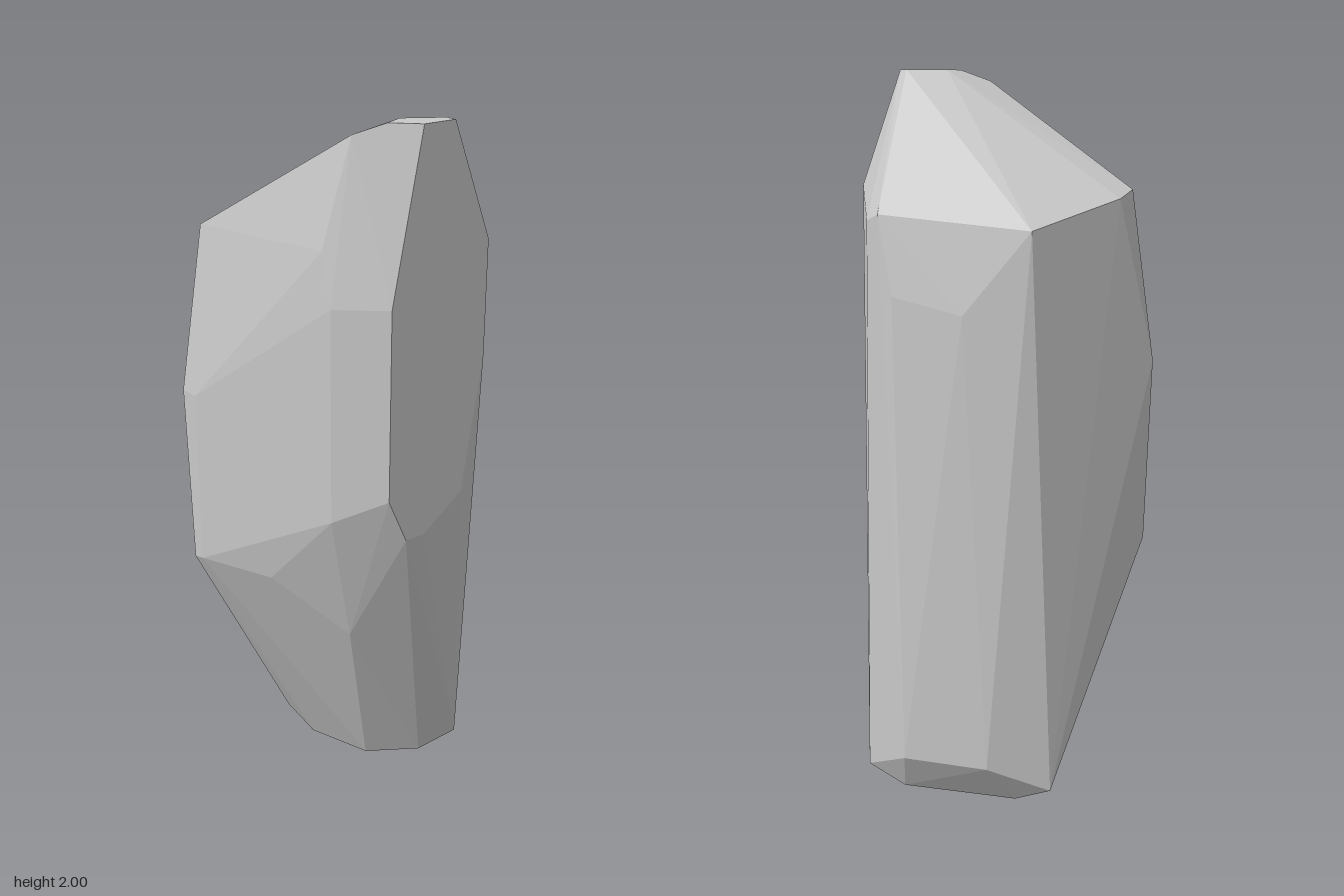
import * as THREE from 'three';
import { ConvexGeometry } from 'three/addons/geometries/ConvexGeometry.js';

export function createModel() {
  const group = new THREE.Group();
  group.name = 'rock';
  const stone = new THREE.MeshStandardMaterial({ color: 0xc8c8c8 });
  stone.name = 'grey stone';

  // Corner points of the chiselled stone, ring by ring
  const corners = {
    summit: [[0, 2, 0.304], [0.098, 2, 0.304], [0.098, 2, 0.27], [0.003, 2, 0.21], [-0.06, 2, 0.24], [-0.12, 1.97, 0.18]],
    shoulder: [[-0.28, 1.69, -0.26], [-0.215, 1.67, -0.29], [0.065, 1.6, -0.29],
      [0.315, 1.63, 0.055], [0.315, 1.61, 0.115], [0.222, 1.69, 0.304], [-0.185, 1.69, 0.145]],
    frontFace: [[-0.09, 1.56, 0.304], [-0.09, 1.04, 0.304], [-0.03, 0.91, 0.304],
      [0.03, 0.91, 0.304], [0.16, 1, 0.304], [0.222, 1.38, 0.304]],
    sides: [[-0.34, 1.23, -0.29], [-0.34, 1.23, -0.23], [-0.34, 0.72, -0.27], [-0.34, 0.73, -0.23],
      [-0.185, 0.96, 0.18], [-0.185, 1.55, 0.18], [-0.24, 0.72, -0.03], [-0.08, 0.55, 0.125],
      [0.195, 1.38, -0.165], [0.308, 1.42, 0]],
    foot: [[0.338, 0.04, 0.125], [0.315, 0.12, -0.04], [0.16, 0.12, -0.225], [0, 0.045, -0.305]],
    base: [[0.22, 0, 0.09], [0.28, 0, 0.02], [0.08, 0, 0], [0.06, 0, -0.22], [0.015, 0, -0.19]],
  };
  const points = Object.values(corners).flat().map((p) => new THREE.Vector3(...p));

  const body = new THREE.Mesh(new ConvexGeometry(points), stone);
  body.name = 'facetedStone';
  group.add(body);
  return group;
}
